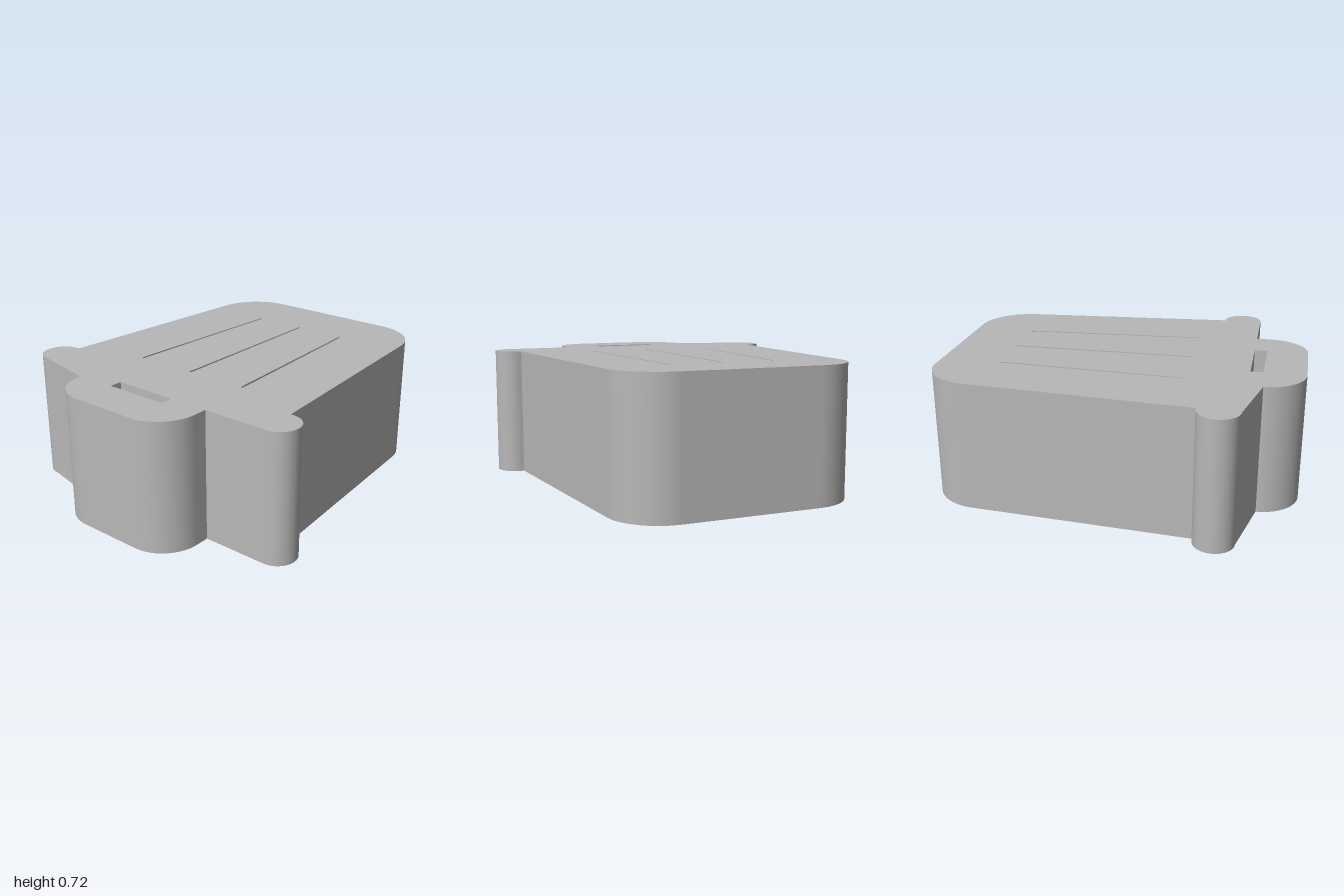
import * as THREE from 'three';
import { toCreasedNormals } from 'three/addons/utils/BufferGeometryUtils.js';

const HEIGHT = 0.72;
const HALF_PI = Math.PI / 2;

// Narrow slot with rounded ends running from a to b
function slot(ax, ay, bx, by, r) {
  const path = new THREE.Path();
  const dir = Math.atan2(by - ay, bx - ax);
  path.absarc(bx, by, r, dir - HALF_PI, dir + HALF_PI, false);
  path.absarc(ax, ay, r, dir + HALF_PI, dir + 3 * HALF_PI, false);
  path.closePath();
  return path;
}

// Plan outline, drawn counterclockwise with shape y = -z
function outline() {
  const s = new THREE.Shape();
  const lean = 0.08;
  // front tab
  s.moveTo(-0.405, -0.70);
  s.absarc(-0.185, -0.78, 0.22, Math.PI, 3 * HALF_PI, false);
  s.absarc(0.185, -0.78, 0.22, -HALF_PI, 0, false);
  s.lineTo(0.405, -0.70);
  // left wing
  s.absarc(0.77, -0.59, 0.11, -HALF_PI, HALF_PI, false);
  s.lineTo(0.755, -0.48);
  // tapered body with rounded back corners
  s.absarc(0.38, 0.72, 0.28, lean, HALF_PI, false);
  s.absarc(-0.38, 0.72, 0.28, HALF_PI, Math.PI - lean, false);
  s.lineTo(-0.755, -0.48);
  // right wing
  s.absarc(-0.77, -0.59, 0.11, HALF_PI, 3 * HALF_PI, false);
  s.closePath();

  // three long grooves cut right through
  for (const side of [-1, 0, 1]) {
    s.holes.push(slot(side * 0.355, -0.352, side * 0.296, 0.652, 0.007));
  }
  // rectangular opening in the tab
  s.holes.push(new THREE.Path([
    new THREE.Vector2(-0.18, -0.70), new THREE.Vector2(-0.18, -0.77),
    new THREE.Vector2(0.18, -0.77), new THREE.Vector2(0.18, -0.70),
  ]));
  return s;
}

export function createModel() {
  const group = new THREE.Group();
  const grey = new THREE.MeshStandardMaterial({ color: 0xb8b8b8 });
  grey.name = 'grey';

  const extruded = new THREE.ExtrudeGeometry(outline(), {
    depth: HEIGHT, bevelEnabled: false, curveSegments: 24,
  });
  extruded.rotateX(-HALF_PI);
  const body = new THREE.Mesh(toCreasedNormals(extruded, 0.5), grey);
  body.name = 'slottedBody';
  group.add(body);
  return group;
}
